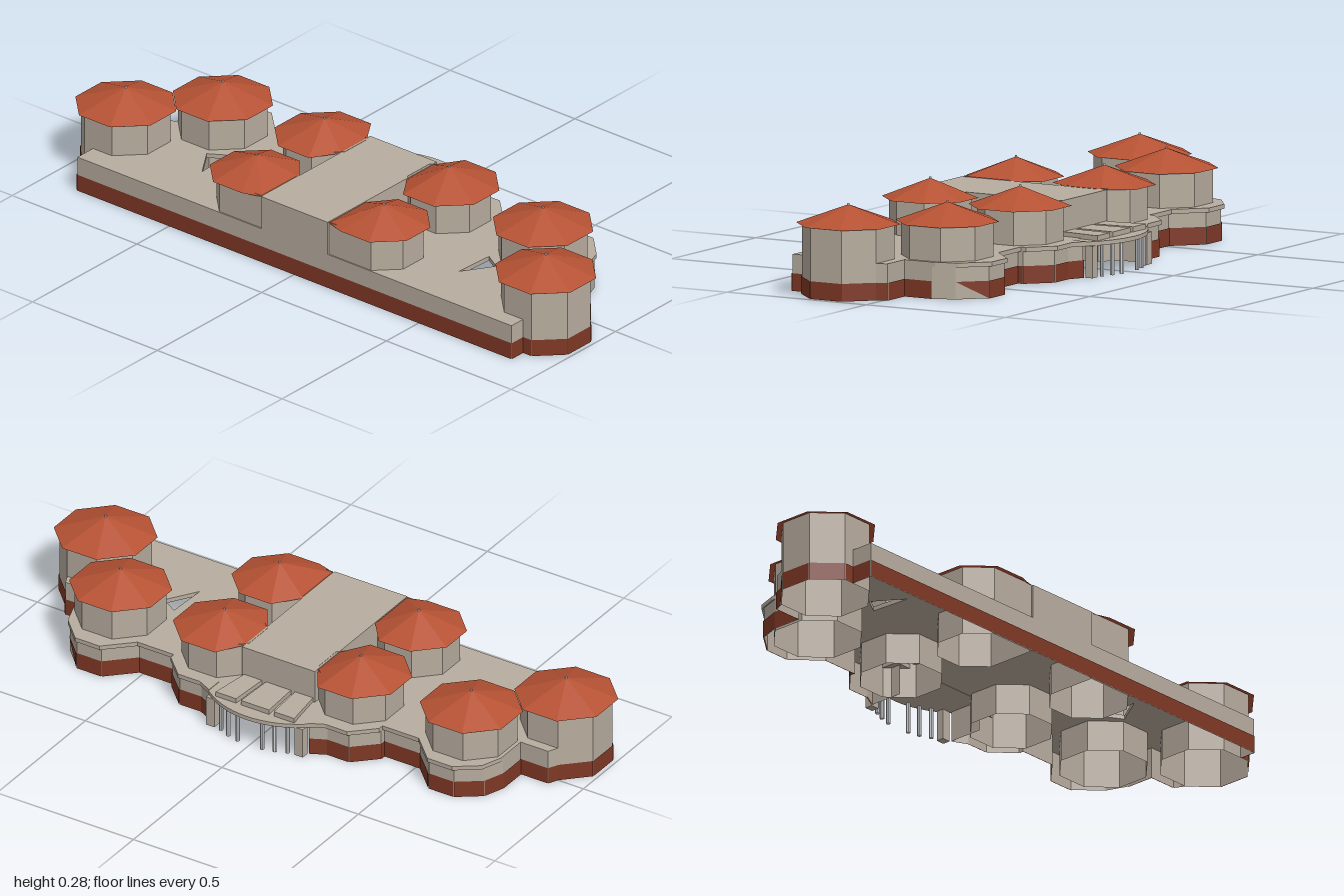
import * as THREE from 'three';

const mat = (name, color) => {
  const m = new THREE.MeshStandardMaterial({ color, flatShading: true, side: THREE.DoubleSide });
  m.name = name;
  return m;
};

// Octagon corners with flat sides towards the axes; a = centre to flat side
const octagon = (cx, cz, a) => Array.from({ length: 8 }, (_, i) => {
  const t = Math.PI / 8 + i * Math.PI / 4, r = a / Math.cos(Math.PI / 8);
  return [cx + r * Math.cos(t), cz + r * Math.sin(t)];
});

function triangles(pos) {
  const g = new THREE.BufferGeometry();
  g.setAttribute('position', new THREE.Float32BufferAttribute(pos, 3));
  g.computeVertexNormals();
  return g;
}

// Vertical quads along a path of [x, z] points, skipping chosen segments;
// out pushes each quad sideways so that facings sit just off the wall
function wallStrip(points, y0, y1, skip = [], out = 0) {
  const pos = [];
  for (let i = 0; i < points.length - 1; i++) {
    if (skip.includes(i)) continue;
    const [px, pz] = points[i], [qx, qz] = points[i + 1];
    const k = out / Math.hypot(qx - px, qz - pz);
    const ox = (qz - pz) * k, oz = (px - qx) * k;
    const ax = px + ox, az = pz + oz, bx = qx + ox, bz = qz + oz;
    pos.push(ax, y0, az, ax, y1, az, bx, y1, bz, ax, y0, az, bx, y1, bz, bx, y0, bz);
  }
  return triangles(pos);
}

// Horizontal slab from an [x, z] outline, its top at the given height
function slab(outline, top, depth, holes = []) {
  const toV = (pts) => pts.map(([x, z]) => new THREE.Vector2(x, z));
  const shape = new THREE.Shape(toV(outline));
  holes.forEach((h) => shape.holes.push(new THREE.Path(toV(h))));
  const g = new THREE.ExtrudeGeometry(shape, { depth, bevelEnabled: false });
  return g.rotateX(Math.PI / 2).translate(0, top, 0);
}

export function createModel() {
  const model = new THREE.Group();
  const stone = mat('stone wall', 0xb7ac9e);
  const brick = mat('brick base', 0x7f3825);
  const tile = mat('roof tile', 0xb65234);
  const metal = mat('pale metal', 0xd6d7da);
  const add = (name, geometry, material, x = 0, y = 0, z = 0) => {
    const m = new THREE.Mesh(geometry, material);
    m.name = name;
    m.position.set(x, y, z);
    model.add(m);
  };

  const DECK = 0.114, LEDGE = 0.1, BRICK = 0.055, EAVE = 0.222, APEX = 0.281;
  const BACK = -0.343;

  // Half plan, from the entrance round the bays to the end tower
  const bays = [[0.18, 0.18], [0.295, 0.18], [0.27, 0.23], [0.27, 0.31], [0.2, 0.382], [0.182, 0.382],
    [0.182, 0.515], [0.265, 0.6], [0.265, 0.69], [0.19, 0.765], [0.12, 0.79], [0.01, 0.79], [0.01, 0.89]];
  const end = octagon(-0.155, 0.85, 0.133);
  const backCorner = [[-0.288, 0.87], [BACK, 0.87]];
  // The far end stands slightly further out in x
  const place = (s) => ([x, z]) => [x + (s < 0 && z > 0.7 && x > -0.3 ? 0.02 : 0), z * s];

  const towers = [
    { name: 'endTower', x: -0.155, z: 0.85, wall: 0.133, roof: 0.15, shift: 0.02, corner: true },
    { name: 'cornerTower', x: 0.077, z: 0.645, wall: 0.133, roof: 0.149, shift: 0.008 },
    { name: 'frontTower', x: 0.1, z: 0.25, wall: 0.124, roof: 0.149, shift: 0, cut: true },
    { name: 'backTower', x: -0.22, z: 0.255, wall: 0.119, roof: 0.139, shift: 0, cut: true, square: true },
  ];

  const deckHalves = [], holes = [];
  for (const s of [1, -1]) {
    const side = s > 0 ? 'Left' : 'Right';

    // Lower walls set back under the ledge, open at the entrance, with a brick facing
    const inset = bays.map(([x, z]) => [x > 0.05 ? x - 0.011 : x, z]);
    const plan = [...inset, ...end.slice(0, 4), ...backCorner, [BACK, 0]].map(place(s));
    add('lowerWall' + side, wallStrip(plan, 0, LEDGE + 0.002), stone);
    add('brickBase' + side, wallStrip(plan, 0, BRICK, s > 0 ? [0, 8, 9] : [0], 0.003 * s), brick);
    if (s > 0) { // brick runs out diagonally on one bay
      const [a, b] = [plan[8], plan[9]].map(([x, z]) => [x + 0.002, z + 0.002]);
      add('brickEnd', triangles([a[0], 0, a[1], a[0], BRICK, a[1], b[0], BRICK, b[1]]), brick);
    }

    // Deck edge runs round the inside of the end tower
    deckHalves.push([...bays, end[0], end[7], end[6], end[5], end[4], ...backCorner].map(place(s)));
    holes.push([[-0.17, 0.515], [-0.035, 0.522], [-0.07, 0.58]].map(place(s)));

    // Towers: hollow octagonal shaft, tiled roof and finial
    for (const t of towers) {
      const x = t.x + (s < 0 ? t.shift : 0), z = t.z * s;
      // Back towers have a square corner where they meet the hall
      const isSquare = (px, pz) => t.square && px < x - 0.01 && Math.abs(pz) < t.z - 0.1;
      const ring = octagon(x, z, t.wall).map(([px, pz]) => [isSquare(px, pz) ? BACK + 0.004 : px, pz]);
      const loop = [...ring, ring[0]];
      if (!t.corner) holes.push(ring);
      add(t.name + side, wallStrip(loop, LEDGE, EAVE + 0.004), stone);
      // Shaft below the deck; the end tower's outer sides are the lower wall
      const outer = s > 0 ? [0, 1, 2] : [4, 5, 6];
      add(t.name + 'Shaft' + side, wallStrip(loop, 0, LEDGE, t.corner ? outer : []), stone);

      const h = APEX - EAVE;
      const roof = new THREE.ConeGeometry(t.roof / Math.cos(Math.PI / 8), h, 8, 1, true);
      roof.rotateY(Math.PI / 8).translate(x, EAVE + h / 2, z);
      if (t.cut) { // roof stops at the edge of the central hall
        const p = roof.attributes.position;
        for (let i = 0; i < p.count; i++) {
          if (isSquare(p.getX(i), p.getZ(i))) p.setX(i, BACK + 0.005);
          p.setZ(i, s * Math.max(0.132, s * p.getZ(i)));
        }
      }
      add(t.name + 'Roof' + side, roof, tile);
      add(t.name + 'Finial' + side, new THREE.CylinderGeometry(0.003, 0.005, 0.008, 6), metal, x, APEX, z);
    }
  }

  // Flat deck over the lower storey, open beneath the towers
  add('deck', slab([...deckHalves[0], ...deckHalves[1].reverse()], DECK, DECK - LEDGE, holes), stone);

  // Tall central hall
  add('centralHall', new THREE.BoxGeometry(0.18 - BACK, 0.113, 0.266), stone, (0.18 + BACK) / 2, 0.1685, 0);

  // Curved entrance canopy
  const arc = Array.from({ length: 17 }, (_, i) => {
    const z = -0.2 + 0.025 * i;
    return [0.07 + Math.sqrt(0.29 * 0.29 - z * z), z];
  });
  add('canopy', slab([[0.165, -0.2], ...arc, [0.165, 0.2]], 0.112, 0.013), stone);

  // Raised wedge panels on the canopy
  for (const [a, b] of [[-0.125, -0.06], [-0.045, 0.045], [0.06, 0.125]]) {
    add('canopyPanel', slab([[0.17, a], [0.313, a * 1.15], [0.313, b * 1.15], [0.17, b]], 0.128, 0.018), stone);
  }

  // Canopy piers and slim columns
  for (const s of [1, -1]) {
    add('canopyPier', new THREE.BoxGeometry(0.026, LEDGE, 0.03), stone, 0.303, LEDGE / 2, s * 0.162);
    for (const z of [0.045, 0.085, 0.122]) {
      const x = 0.07 + Math.sqrt(0.275 * 0.275 - z * z);
      add('canopyColumn', new THREE.CylinderGeometry(0.007, 0.007, 0.104, 8), metal, x, 0.052, s * z);
    }
  }
  return model;
}
